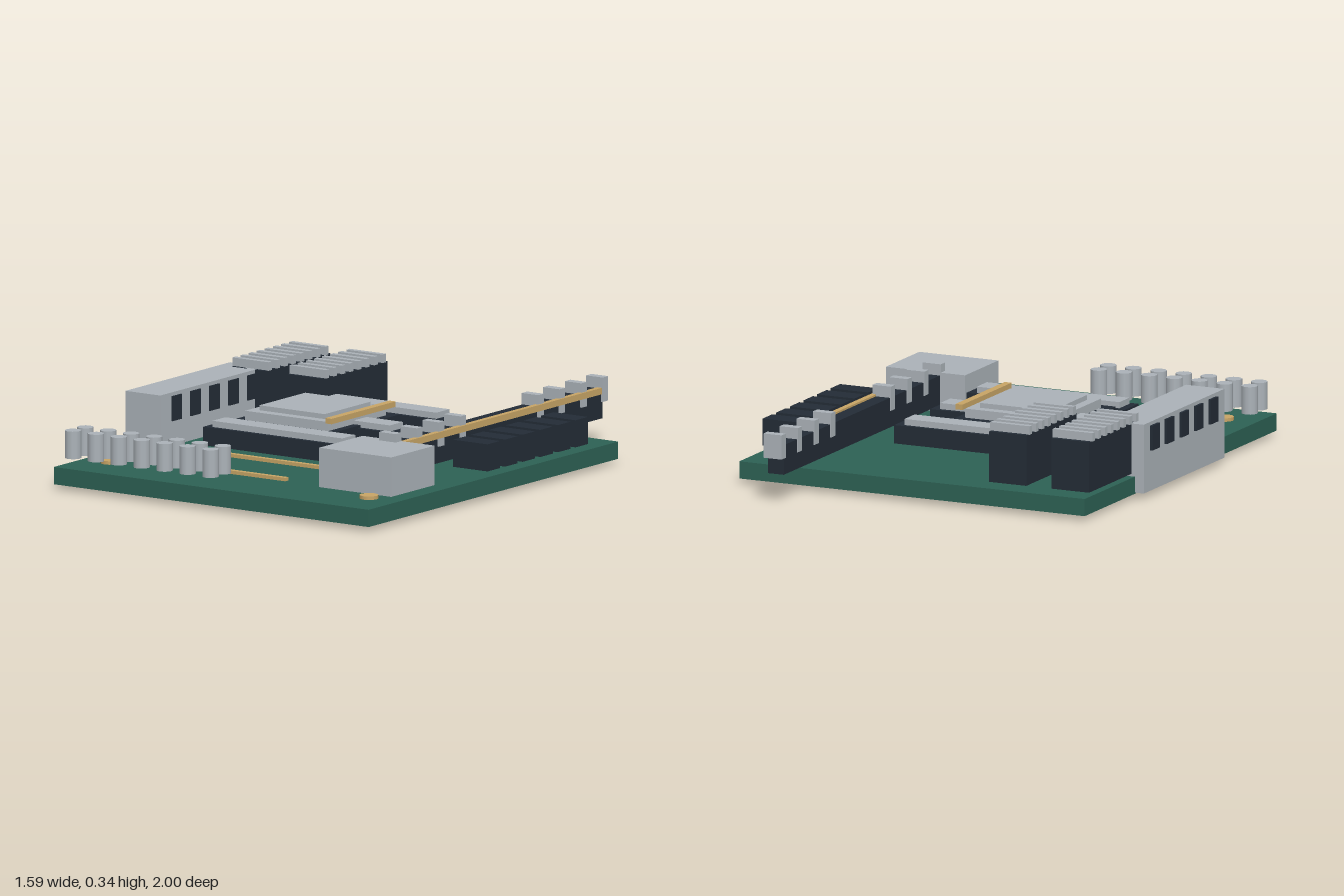
import * as THREE from 'three';

const material = (name, color) => {
  const m = new THREE.MeshStandardMaterial({ color });
  m.name = name;
  return m;
};

export function createModel() {
  const green = material('board green', 0x2d6154);
  const dark = material('dark plastic', 0x232c36);
  const grey = material('light metal', 0xabb2b8);
  const gold = material('gold contact', 0xc8a566);

  const model = new THREE.Group();
  model.name = 'circuitBoard';

  const add = (name, geometry, mat, x, y, z) => {
    const mesh = new THREE.Mesh(geometry, mat);
    mesh.name = name;
    mesh.position.set(x, y, z);
    model.add(mesh);
  };
  // Box given by its extents along each axis
  const box = (name, mat, x0, x1, y0, y1, z0, z1) =>
    add(name, new THREE.BoxGeometry(x1 - x0, y1 - y0, z1 - z0), mat,
      (x0 + x1) / 2, (y0 + y1) / 2, (z0 + z1) / 2);
  // Upright faceted cylinder
  const post = (name, mat, x, z, r, y0, y1, sides) =>
    add(name, new THREE.CylinderGeometry(r, r, y1 - y0, sides), mat, x, (y0 + y1) / 2, z);

  // Board
  box('board', green, -0.745, 0.79, 0.02, 0.09, -0.725, 1.0);

  // Strips under the board and traces on top
  for (const [z, half] of [[0.14, 0.552], [0.46, 0.39], [0.71, 0.275]])
    box('undersideStrip', dark, -0.022 - half, -0.022 + half, 0, 0.022, z - 0.04, z + 0.04);
  for (const [z, half] of [[0.135, 0.447], [0.42, 0.325], [0.7, 0.205]])
    box('trace', gold, -0.025 - half, -0.025 + half, 0.088, 0.104, z - 0.011, z + 0.011);

  // Mounting pads near the corners
  for (const x of [-0.61, 0.653])
    for (const z of [-0.54, 0.803])
      post('mountingPad', gold, x, z, 0.038, 0.088, 0.104, 12);

  // Finned heat sinks
  for (const x of [-0.647, -0.368]) {
    box('heatSinkBlock', dark, x - 0.083, x + 0.083, 0.1, 0.306, -0.655, -0.205);
    for (let i = 0; i < 8; i++) {
      const z = -0.232 - i * 0.056;
      box('heatSinkFin', grey, x - 0.088, x + 0.088, 0.305, 0.34, z - 0.012, z + 0.012);
    }
  }

  // Side port housing with openings showing on both faces
  box('portHousing', grey, -0.785, -0.615, 0.025, 0.306, -0.275, 0.448);
  for (let i = 0; i < 5; i++) {
    const z = -0.185 + i * 0.131;
    box('portOpening', dark, -0.796, -0.609, 0.19, 0.291, z - 0.033, z + 0.033);
  }

  // Front connector housing
  box('connectorHousing', grey, 0.358, 0.71, 0.09, 0.25, 0.43, 0.73);

  // Three long sockets, one running through the processor
  for (const z of [-0.257, 0.064, 0.393]) {
    box('socketBase', dark, -0.4, 0.302, 0.13, 0.205, z - 0.063, z + 0.063);
    box('socketCover', grey, -0.368, 0.265, 0.2, 0.23, z - 0.045, z + 0.045);
  }

  // Processor: socket, two stepped plates and a latch bar
  box('processorSocket', dark, -0.36, 0.122, 0.115, 0.215, -0.157, 0.33);
  box('processorPlate', grey, -0.317, 0.088, 0.21, 0.252, -0.115, 0.285);
  box('processorCap', grey, -0.277, 0.042, 0.25, 0.272, -0.075, 0.243);
  box('latchBar', gold, 0.09, 0.121, 0.25, 0.272, -0.135, 0.307);

  // Expansion slot with a contact rail and metal clips
  box('expansionSlot', dark, 0.47, 0.54, 0.117, 0.238, -0.972, 0.455);
  box('contactRail', gold, 0.532, 0.555, 0.22, 0.246, -0.945, 0.415);
  for (const z of [-0.981, -0.834, -0.684, -0.536, 0, 0.151, 0.302, 0.449])
    box('slotClip', grey, 0.466, 0.547, 0.185, 0.284, z - 0.019, z + 0.019);

  // Row of power modules on the left edge
  for (let i = 0; i < 6; i++) {
    const z = -0.476 + i * 0.1217;
    box('powerModule', dark, 0.62, 0.788, 0.113, 0.223, z - 0.043, z + 0.043);
  }

  // Two rows of capacitors along the front
  for (let i = 0; i < 7; i++)
    for (const z of [0.84, 0.925])
      post('capacitor', grey, -0.704 + i * 0.1117, z, 0.033, 0.12, 0.232, 12);

  return model;
}
